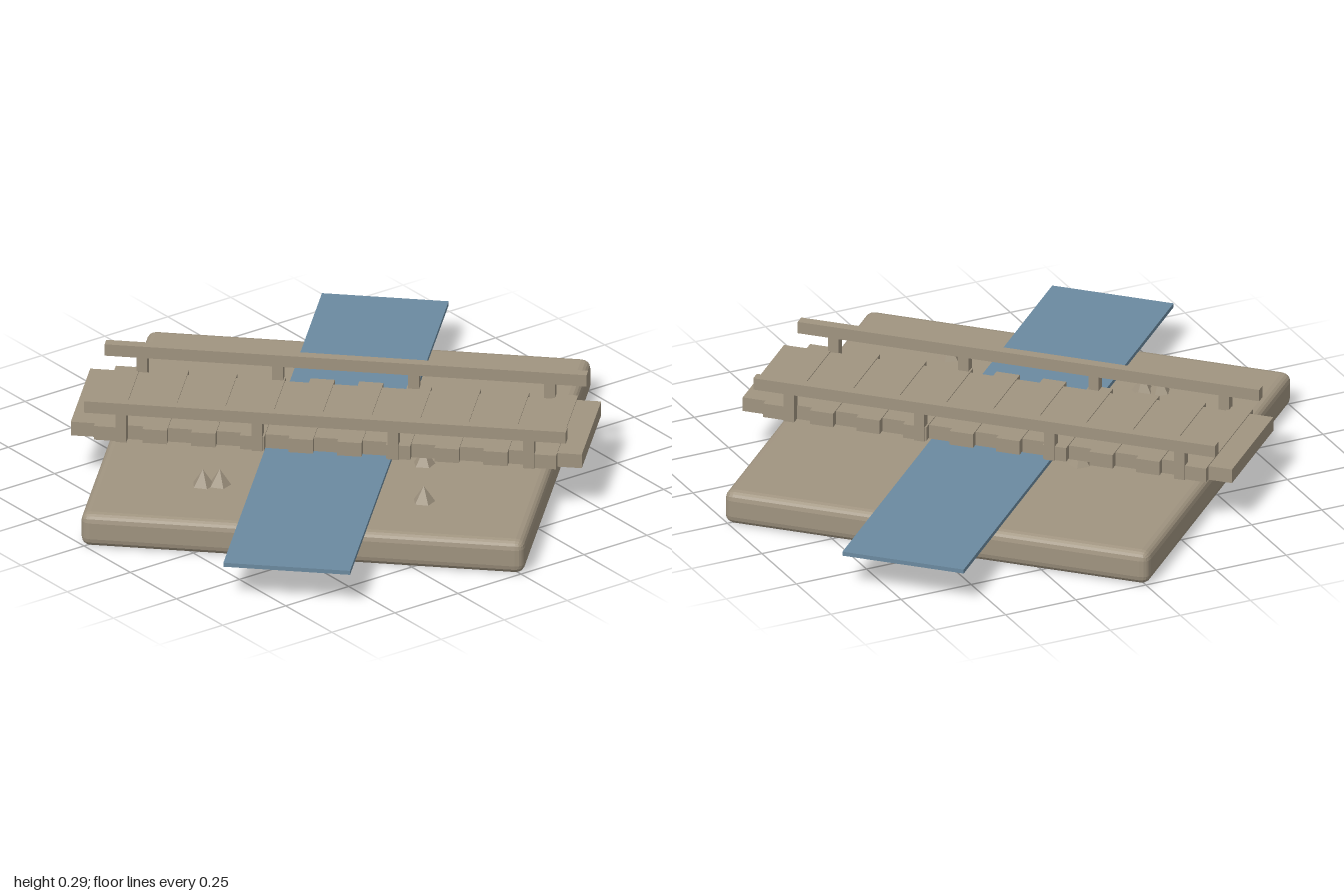
import * as THREE from 'three';
import { RoundedBoxGeometry } from 'three/addons/geometries/RoundedBoxGeometry.js';

export function createModel() {
  const stone = new THREE.MeshStandardMaterial({ color: 0xa09480, flatShading: true });
  stone.name = 'weathered tan';
  const water = new THREE.MeshStandardMaterial({ color: 0x6b8aa0 });
  water.name = 'river blue';

  const model = new THREE.Group();
  model.name = 'riverBridge';
  // Local x runs along the bridge, local z along the river
  const tile = new THREE.Group();
  tile.name = 'groundTile';
  tile.rotation.y = Math.PI / 4;
  model.add(tile);

  const add = (name, geometry, material, x, y, z, parent = tile) => {
    const mesh = new THREE.Mesh(geometry, material);
    mesh.name = name;
    mesh.position.set(x, y, z);
    parent.add(mesh);
    return mesh;
  };
  const box = (name, w, h, d, x, y, z, material = stone) =>
    add(name, new THREE.BoxGeometry(w, h, d), material, x, y, z);

  // Ground slab with softened edges, and the river strip across it
  add('ground', new RoundedBoxGeometry(1.436, 0.115, 1.436, 2, 0.03), stone, 0, 0.0575, 0);
  box('river', 0.41, 0.014, 2.08, 0, 0.121, 0, water);

  // Deck of alternating narrow and wide planks
  const count = 21, pitch = 1.654 / count;
  for (let i = 0; i < count; i++) {
    const wide = i % 2 === 1;
    box('plank', pitch, 0.048, wide ? 0.465 : 0.41,
      (i - (count - 1) / 2) * pitch, wide ? 0.179 : 0.176, 0);
  }

  // Handrails on posts along both sides
  for (const side of [-1, 1]) {
    box('handrail', 1.56, 0.04, 0.035, 0, 0.27, side * 0.22);
    for (const x of [-0.66, -0.22, 0.22, 0.66])
      box('railPost', 0.035, 0.1, 0.035, x, 0.204, side * 0.22);
  }

  // Small pointed rocks on the banks
  const rocks = [[0.08, 0.52], [0.05, 0.565], [0.57, 0.07], [0.34, -0.1], [0.22, -0.27], [-0.32, 0.1]];
  rocks.forEach(([x, z], i) => {
    const rock = add('rock', new THREE.ConeGeometry(0.04, 0.06, 5), stone, x, 0.14, z, model);
    rock.rotation.y = i * 1.3;
  });
  return model;
}
